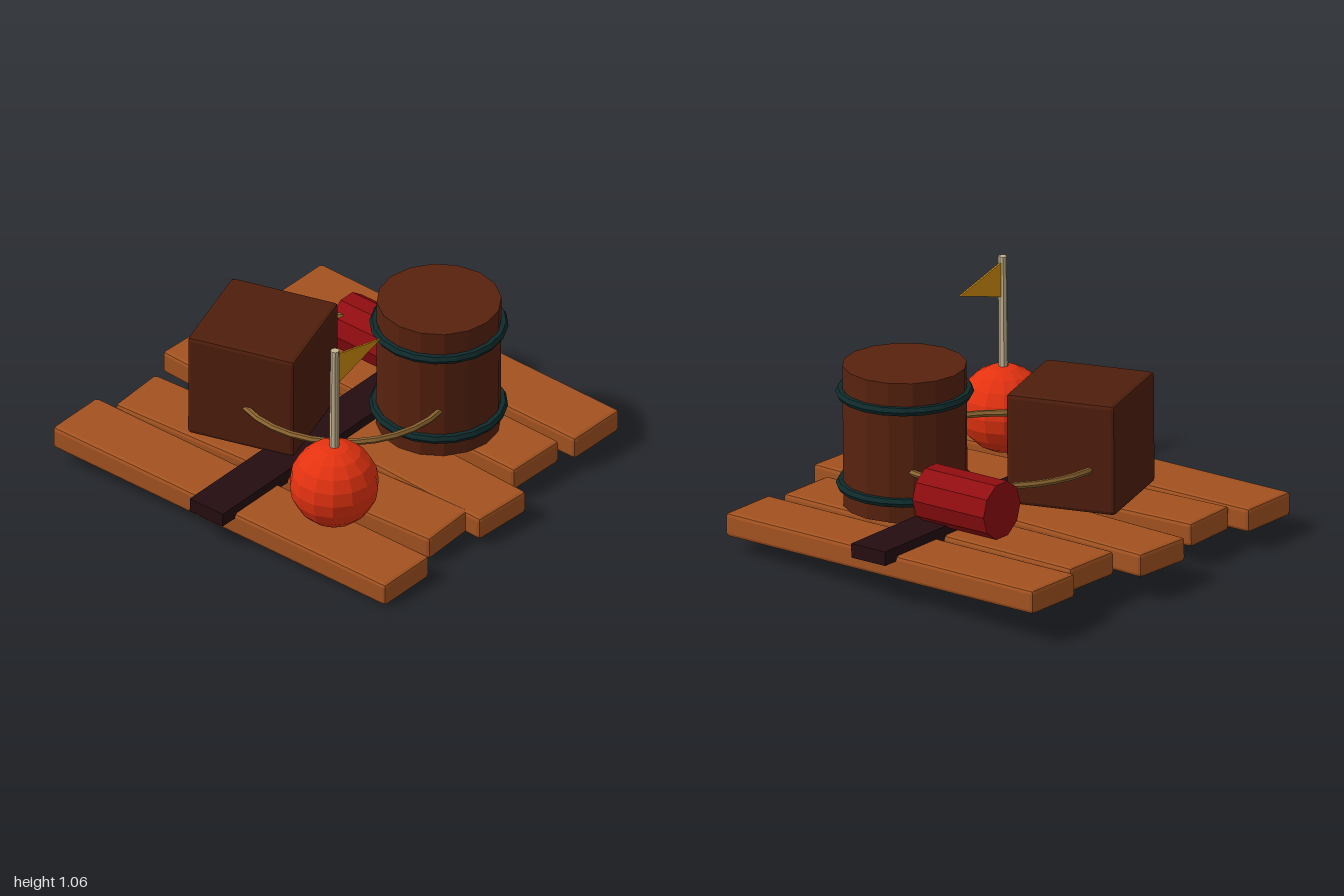
import * as THREE from 'three';
import { RoundedBoxGeometry } from 'three/addons/geometries/RoundedBoxGeometry.js';

function material(name, color) {
  const m = new THREE.MeshStandardMaterial({ color, flatShading: true });
  m.name = name;
  return m;
}

export function createModel() {
  const mats = {
    plank: material('plank wood', 0xa35220),
    beam: material('dark beam wood', 0x250d10),
    crate: material('crate wood', 0x4f1e0d),
    barrel: material('barrel wood', 0x58220e),
    hoop: material('dark iron', 0x0f2a2c),
    ball: material('buoy red', 0xe43210),
    pole: material('pale pole wood', 0xc4b492),
    flag: material('flag yellow', 0xd08c10),
    rope: material('rope tan', 0x8c6430),
    drum: material('drum red', 0x900d10),
  };

  const model = new THREE.Group();
  model.name = 'raft';
  // The whole raft lists gently towards its front and left
  model.rotation.set(0.041, 0, -0.04);

  function add(name, geometry, mat, x, y, z, parent = model) {
    const mesh = new THREE.Mesh(geometry, mat);
    mesh.name = name;
    mesh.position.set(x, y, z);
    parent.add(mesh);
    return mesh;
  }

  // Deck planks: [length, width, z, yaw]
  const planks = [
    [1.79, 0.315, -0.745, -0.013],
    [1.69, 0.315, -0.385, -0.025],
    [1.97, 0.315, -0.01, -0.052],
    [1.79, 0.305, 0.36, 0.052],
    [1.975, 0.315, 0.725, 0],
  ];
  planks.forEach(([length, width, z, yaw], i) => {
    const geo = new RoundedBoxGeometry(length, 0.115, width, 1, 0.018);
    add('plank' + (i + 1), geo, mats.plank, -0.005, 0.132, z).rotation.y = yaw;
  });

  // Cross beam tying the planks together
  add('crossBeam', new THREE.BoxGeometry(0.195, 0.068, 1.955), mats.beam, -0.007, 0.2, -0.008);

  // Crate
  const crate = new RoundedBoxGeometry(0.53, 0.53, 0.53, 1, 0.02);
  add('crate', crate, mats.crate, -0.29, 0.485, 0.23).rotation.y = 0.3;

  // Barrel with two hoops
  const barrel = new THREE.Group();
  barrel.name = 'barrel';
  barrel.position.set(0.318, 0.525, -0.29);
  model.add(barrel);
  add('barrelBody', new THREE.CylinderGeometry(0.285, 0.285, 0.67, 16), mats.barrel, 0, 0, 0, barrel);
  for (const y of [-0.235, 0.205]) {
    const hoop = new THREE.TorusGeometry(0.295, 0.022, 6, 20);
    add('barrelHoop', hoop, mats.hoop, 0, y, 0, barrel).rotation.x = Math.PI / 2;
  }

  // Small drum lying on its side
  const drum = new THREE.CylinderGeometry(0.137, 0.137, 0.41, 10);
  add('drum', drum, mats.drum, -0.17, 0.345, -0.465).rotation.z = Math.PI / 2;

  // Rope ring around the cargo
  add('rope', new THREE.TorusGeometry(0.505, 0.016, 6, 32), mats.rope, 0, 0.43, 0).rotation.x = Math.PI / 2;

  // Buoy ball with pole and pennant
  const buoy = new THREE.Group();
  buoy.name = 'buoy';
  buoy.position.set(0.442, 0.373, 0.6);
  model.add(buoy);
  add('buoyBall', new THREE.SphereGeometry(0.206, 14, 10), mats.ball, 0, 0, 0, buoy);
  add('flagPole', new THREE.CylinderGeometry(0.02, 0.024, 0.73, 8), mats.pole, 0, 0.365, 0, buoy);

  const pennant = new THREE.Shape([
    new THREE.Vector2(0, 0.085),
    new THREE.Vector2(0, -0.085),
    new THREE.Vector2(0.315, 0.005),
  ]);
  const flag = new THREE.ExtrudeGeometry(pennant, { depth: 0.009, bevelEnabled: false });
  flag.translate(0, 0, -0.0045);
  add('flag', flag, mats.flag, 0, 0.62, -0.005, buoy).rotation.y = Math.PI / 2;

  const root = new THREE.Group();
  root.name = 'cargoRaft';
  root.add(model);
  return root;
}
